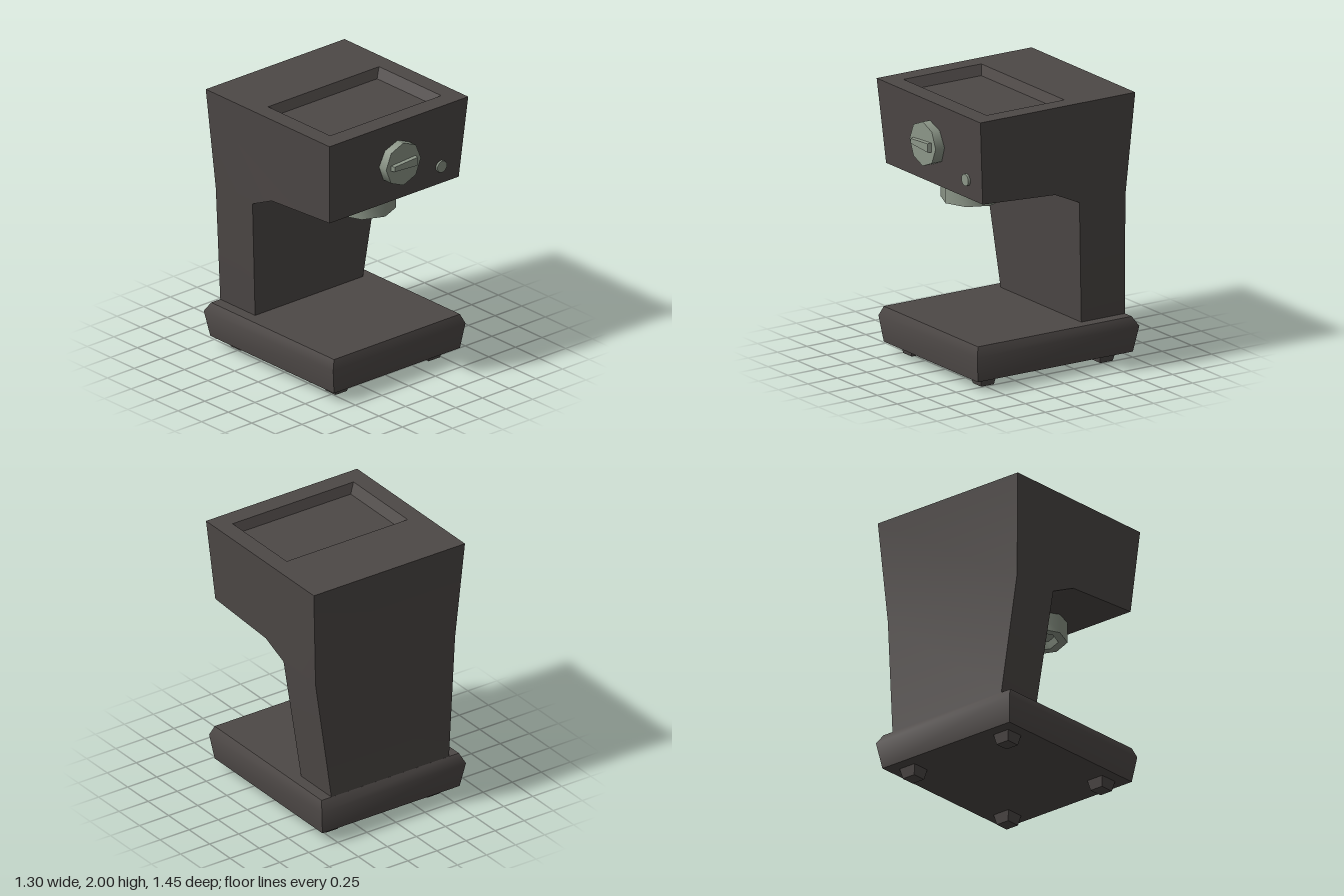
import * as THREE from 'three';
import { toCreasedNormals } from 'three/addons/utils/BufferGeometryUtils.js';

// Joins cross-sections (corners counter-clockwise seen from the end) into a surface
function loft(sections, { caps, start = true, end = true, openSide = -1, crease = 0.85 } = {}) {
  const n = sections[0].length;
  const index = [];
  const tris = caps || Array.from({ length: n - 2 }, (_, i) => [0, i + 1, i + 2]);
  for (let s = 0; s < sections.length - 1; s++) {
    for (let i = 0; i < n; i++) {
      if (i === openSide) continue;
      const j = (i + 1) % n;
      const a = s * n + i, b = s * n + j, c = b + n, d = a + n;
      index.push(a, b, c, a, c, d);
    }
  }
  const last = (sections.length - 1) * n;
  for (const [a, b, c] of tris) {
    if (start) index.push(a, c, b);
    if (end) index.push(last + a, last + b, last + c);
  }
  const geometry = new THREE.BufferGeometry();
  geometry.setAttribute('position', new THREE.Float32BufferAttribute(sections.flat(2), 3));
  geometry.setIndex(index);
  return toCreasedNormals(geometry, crease);
}

// Horizontal rectangle used as a cross-section
const rect = (x, z0, z1, y) => [[x, y, z1], [x, y, z0], [-x, y, z0], [-x, y, z1]];

export function createModel() {
  const model = new THREE.Group();
  const casing = new THREE.MeshStandardMaterial({ name: 'dark casing', color: 0x4d4846 });
  const metal = new THREE.MeshStandardMaterial({ name: 'grey green metal', color: 0x8c9688 });

  function add(name, geometry, material, x = 0, y = 0, z = 0) {
    const mesh = new THREE.Mesh(geometry, material);
    mesh.name = name;
    mesh.position.set(x, y, z);
    model.add(mesh);
    return mesh;
  }

  // Column and overhanging head: side profile as [z, y, half width]
  const profile = [
    [0.645, 2, 0.65], [0.595, 1.38, 0.605], [-0.02, 1.345, 0.605], [-0.23, 1.25, 0.6],
    [-0.31, 0.33, 0.505], [-0.68, 0.33, 0.505], [-0.62, 1.24, 0.6], [-0.67, 2, 0.65],
  ];
  const side = (s) => profile.map(([z, y, w]) => [s * w, y, z]);
  add('body', loft([side(-1), side(1)], {
    caps: [[7, 0, 1], [7, 1, 2], [7, 2, 6], [2, 3, 6], [3, 4, 6], [4, 5, 6]],
    openSide: 7,
    crease: 0.35,
  }), casing);

  // Top face with its sunken tray
  add('topTray', loft([
    rect(0.65, -0.67, 0.645, 2),
    rect(0.52, -0.155, 0.505, 2),
    rect(0.475, -0.125, 0.475, 1.93),
  ], { start: false, crease: 0.3 }), casing);

  // Base with a bulging edge
  add('base', loft([
    rect(0.59, -0.69, 0.625, 0.075),
    rect(0.62, -0.725, 0.65, 0.265),
    rect(0.59, -0.68, 0.625, 0.335),
  ]), casing);

  // Four tapered feet
  const foot = loft([rect(0.053, -0.053, 0.053, 0), rect(0.07, -0.07, 0.07, 0.08)]);
  for (const x of [-0.436, 0.436]) {
    for (const z of [0.475, -0.535]) add('foot', foot, casing, x, 0, z);
  }

  // Brew head with a hollow underside
  const brewProfile = [[0, 1.27], [0.14, 1.27], [0.16, 1.22], [0.225, 1.22], [0.225, 1.37]]
    .map(([r, y]) => new THREE.Vector2(r, y));
  add('brewHead', toCreasedNormals(new THREE.LatheGeometry(brewProfile, 8), 0.85), metal, 0, 0, 0.275);

  // Octagonal dial with a tapered grip
  const dial = new THREE.CylinderGeometry(0.163, 0.163, 0.115, 8).rotateX(Math.PI / 2);
  add('dial', dial, metal, 0, 1.69, 0.6375);
  const grip = (k, z) => [[-0.12 * k, -0.02 * k, z], [0.115 * k, -0.035 * k, z],
    [0.115 * k, 0.035 * k, z], [-0.12 * k, 0.02 * k, z]];
  add('dialGrip', loft([grip(1, 0.69), grip(0.9, 0.725)]), metal, 0, 1.69, 0);

  // Small button beside the dial
  const button = new THREE.CylinderGeometry(0.045, 0.045, 0.06, 10).rotateX(Math.PI / 2);
  add('button', button, metal, 0.425, 1.52, 0.595);

  return model;
}
